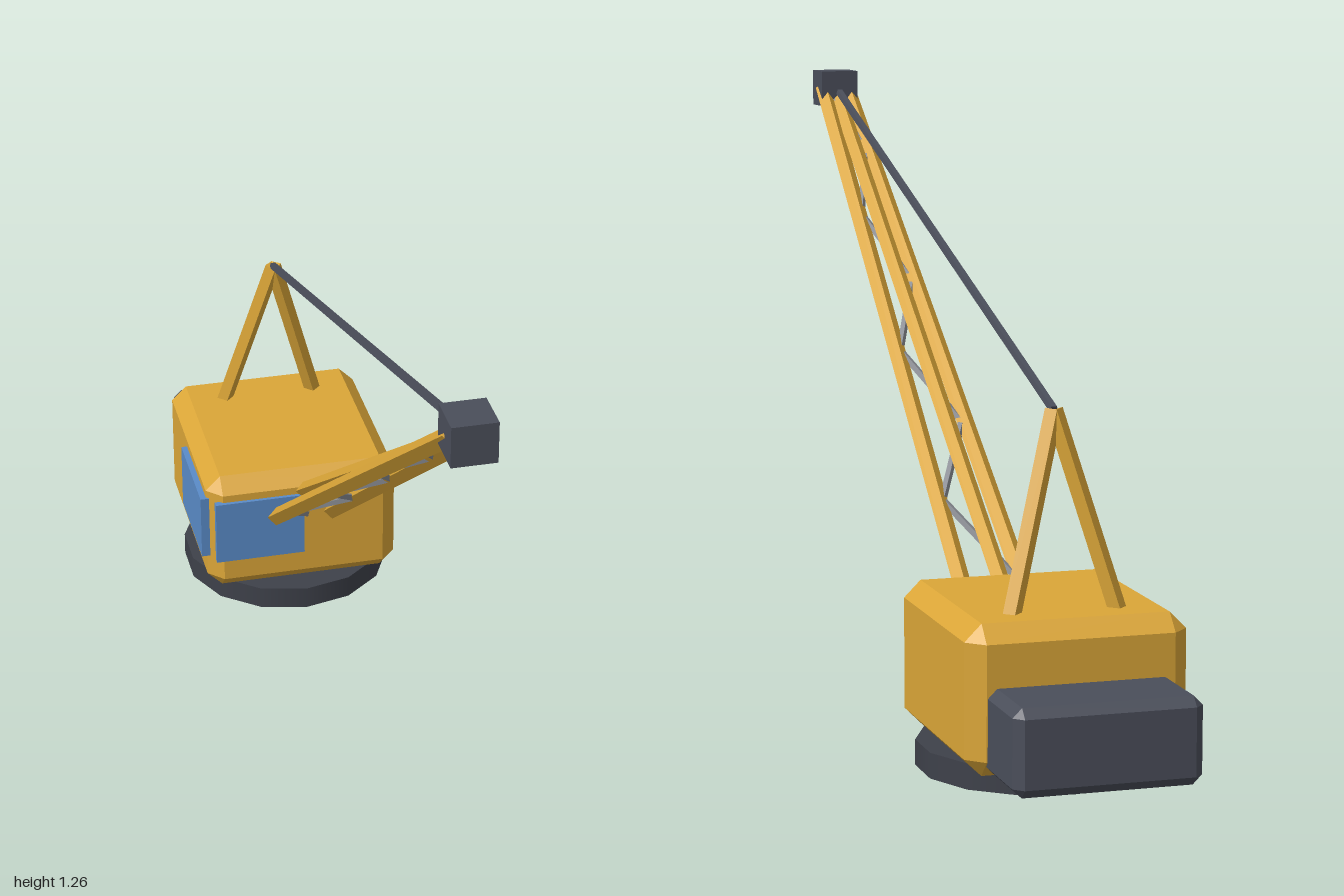
import * as THREE from 'three';
import { ConvexGeometry } from 'three/addons/geometries/ConvexGeometry.js';

const V = (x, y, z) => new THREE.Vector3(x, y, z);

// Box with flat chamfers on every edge
function chamferBox(w, h, d, c) {
  const pts = [];
  for (const sx of [-1, 1]) for (const sy of [-1, 1]) for (const sz of [-1, 1]) {
    const x = w / 2, y = h / 2, z = d / 2;
    pts.push(
      V(sx * x, sy * (y - c), sz * (z - c)),
      V(sx * (x - c), sy * y, sz * (z - c)),
      V(sx * (x - c), sy * (y - c), sz * z));
  }
  return new ConvexGeometry(pts);
}

export function createModel() {
  const model = new THREE.Group();
  model.name = 'crane';

  const mat = (name, color) => {
    const m = new THREE.MeshStandardMaterial({ color });
    m.name = name;
    return m;
  };
  const yellow = mat('machine yellow', 0xdba638);
  const dark = mat('dark steel', 0x4a4e5a);
  const darker = mat('turntable steel', 0x3e414a);
  const grey = mat('lattice grey', 0x8a8d94);
  const glass = mat('window blue', 0x5a8bc8);

  const add = (name, geometry, material, x = 0, y = 0, z = 0, parent = model) => {
    const mesh = new THREE.Mesh(geometry, material);
    mesh.name = name;
    mesh.position.set(x, y, z);
    parent.add(mesh);
    return mesh;
  };

  // Straight bar between two points
  const bar = (name, a, b, r, sides, material, parent = model) => {
    const dir = b.clone().sub(a);
    const geo = new THREE.CylinderGeometry(r, r, dir.length(), sides).toNonIndexed();
    geo.computeVertexNormals();
    const mid = a.clone().add(b).multiplyScalar(0.5);
    const mesh = add(name, geo, material, mid.x, mid.y, mid.z, parent);
    mesh.quaternion.setFromUnitVectors(V(0, 1, 0), dir.normalize());
    return mesh;
  };

  // Base and house
  add('turntable', new THREE.CylinderGeometry(0.2325, 0.2325, 0.05, 14), darker, 0, 0.025, -0.567);
  add('house', chamferBox(0.43, 0.285, 0.47, 0.033), yellow, 0, 0.1925, -0.6);
  add('counterweight', chamferBox(0.36, 0.165, 0.2, 0.018), dark, 0, 0.1375, -0.9);

  // Cab windows at the front right corner
  add('frontWindow', new THREE.BoxGeometry(0.2, 0.15, 0.015), glass, -0.1, 0.21, -0.3645);
  add('sideWindow', new THREE.BoxGeometry(0.019, 0.15, 0.23), glass, -0.2185, 0.21, -0.505);

  // Boom: two lower chords and one upper chord meeting at the head
  const boom = new THREE.Group();
  boom.name = 'boom';
  model.add(boom);
  const foot = s => V(s * 0.067, 0.17, -0.448);
  const tip = s => V(s * 0.028, 1.22, 0.957);
  for (const s of [-1, 1]) bar('lowerChord', foot(s), tip(s), 0.019, 4, yellow, boom);
  bar('upperChord', V(0, 0.235, -0.448), V(0, 1.22, 0.957), 0.018, 4, yellow, boom);

  // Zigzag lacing between the lower chords
  const node = k => {
    const s = k % 2 ? -1 : 1;
    const p = foot(s).lerp(tip(s), k / 8);
    p.x *= 0.85;
    return p;
  };
  for (let k = 0; k < 8; k++) bar('lacing', node(k), node(k + 1), 0.008, 4, grey, boom);

  add('boomHead', new THREE.BoxGeometry(0.085, 0.08, 0.085), dark, 0, 1.22, 0.9575);

  // A-frame mast and stay cable
  const apex = V(0, 0.7, -0.665);
  for (const s of [-1, 1]) bar('mastLeg', V(s * 0.106, 0.32, -0.737), apex, 0.018, 4, yellow);
  bar('stayCable', apex, V(0, 1.22, 0.945), 0.009, 5, dark);

  return model;
}
